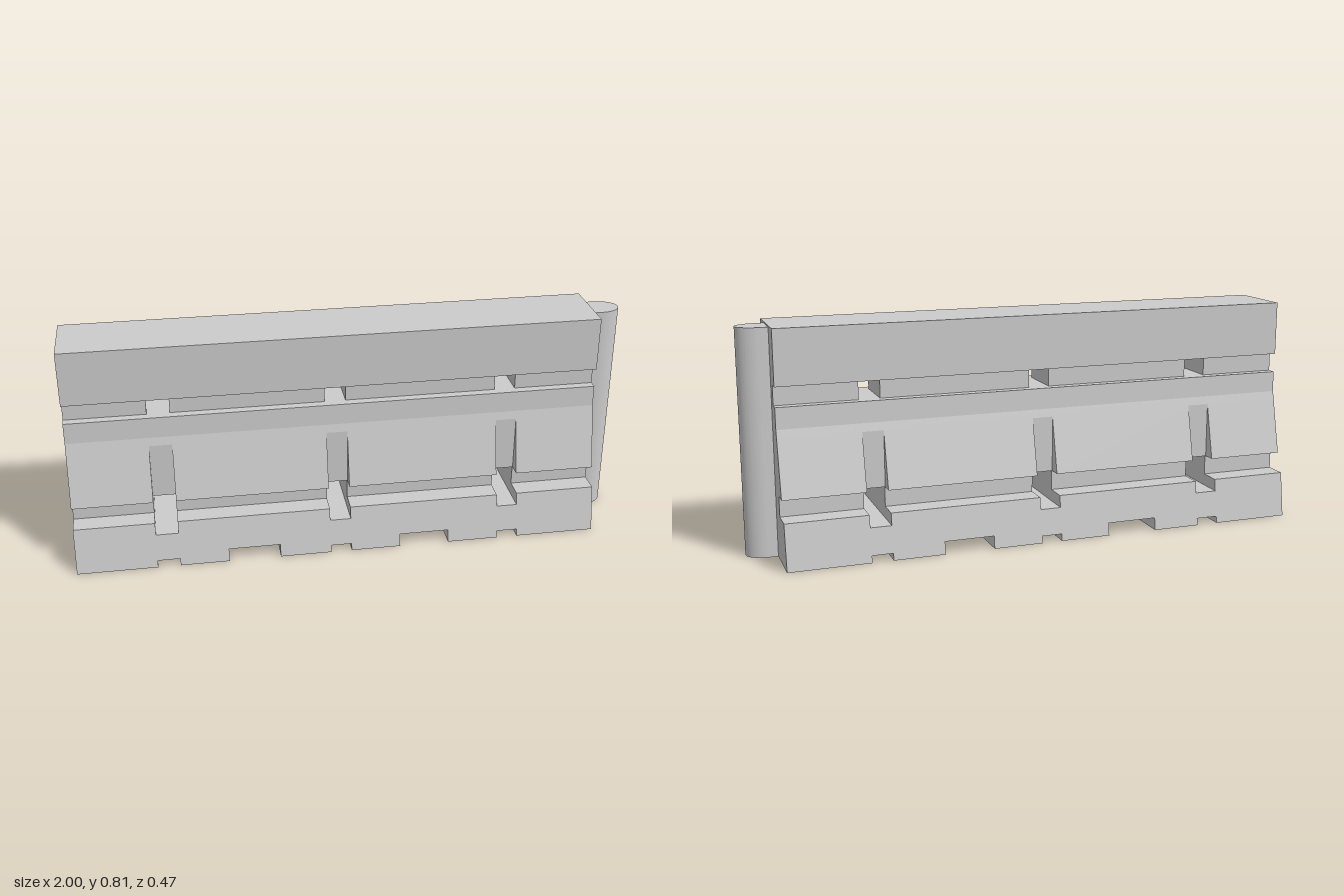
import * as THREE from 'three';
import { toCreasedNormals } from 'three/addons/utils/BufferGeometryUtils.js';

const X0 = -1, X1 = 0.895;
const SLOTS = [[-0.715, -0.635], [-0.09, -0.015], [0.53, 0.605]];
const FORKS = [[-0.46, -0.275], [0.165, 0.345]];
// Spans of the wall between the drain slots
const SPANS = [...SLOTS, [X1]].map((s, i) => [i ? SLOTS[i - 1][1] : X0, s[0]]);

export function createModel() {
  const group = new THREE.Group();
  const material = new THREE.MeshStandardMaterial({ color: 0xcccccc });

  const add = (name, geometry) => {
    const mesh = new THREE.Mesh(geometry, material);
    mesh.name = name;
    group.add(mesh);
    return mesh;
  };
  const shapeOf = (points) => new THREE.Shape(points.map(([a, b]) => new THREE.Vector2(a, b)));
  // Extrude a (z, y) cross-section along x
  const alongX = (name, profile, a, b) => {
    const g = new THREE.ExtrudeGeometry(shapeOf(profile.map(([z, y]) => [-z, y])), { depth: b - a, bevelEnabled: false });
    g.rotateY(Math.PI / 2).translate(a, 0, 0);
    return add(name, g);
  };
  const mirrored = (half) => [...half, ...half.map(([z, y]) => [-z, y]).reverse()];

  // Base: front outline with slots and fork channels, then battered outwards
  const cuts = [...SLOTS.map(([a, b]) => [a, b, 0.025]), ...FORKS.map(([a, b]) => [a, b, 0.045])].sort((p, q) => p[0] - q[0]);
  const outline = [[X0, 0]];
  cuts.forEach(([a, b, h]) => outline.push([a, 0], [a, h], [b, h], [b, 0]));
  outline.push([X1, 0], [X1, 0.163]);
  [...SLOTS].reverse().forEach(([a, b]) => outline.push([b, 0.163], [b, 0.12], [a, 0.12], [a, 0.163]));
  outline.push([X0, 0.163]);
  const base = new THREE.ExtrudeGeometry(shapeOf(outline), { depth: 1, bevelEnabled: false });
  const p = base.attributes.position;
  for (let i = 0; i < p.count; i++) {
    const y = p.getY(i);
    p.setZ(i, p.getZ(i) > 0.5 ? 0.234 - 0.209 * y : -0.232 + 0.153 * y);
  }
  base.computeVertexNormals();
  add('base', base);

  // Middle core, running the full length behind the slots
  alongX('core', mirrored([[0.13, 0.235], [0.13, 0.436], [0.123, 0.465], [0.12, 0.54]]), X0, X1);

  // Waist, neck and sloped panels, interrupted at each slot
  for (const [a, b] of SPANS) {
    alongX('waist', mirrored([[0.125, 0.163], [0.125, 0.235]]), a, b);
    alongX('neck', mirrored([[0.088, 0.54], [0.088, 0.61]]), a, b);
    const wedge = [[0.13, 0.235], [0.178, 0.235], [0.13, 0.436]];
    alongX('frontPanel', wedge, a, b);
    alongX('backPanel', wedge.map(([z, y]) => [-z, y]), a, b);
  }

  // Top beam
  alongX('topBeam', mirrored([[0.125, 0.61], [0.125, 0.805]]), X0, X1);

  // Rounded vertical tongue on the left end
  const tongue = new THREE.Shape();
  tongue.moveTo(X1 - 0.01, -0.053);
  tongue.lineTo(0.925, -0.053);
  tongue.absellipse(0.925, 0, 0.075, 0.053, -Math.PI / 2, Math.PI / 2, false);
  tongue.lineTo(X1 - 0.01, 0.053);
  tongue.closePath();
  const tg = new THREE.ExtrudeGeometry(tongue, { depth: 0.8, bevelEnabled: false, curveSegments: 24 });
  tg.rotateX(-Math.PI / 2);
  add('endTongue', toCreasedNormals(tg, 0.6));

  return group;
}
